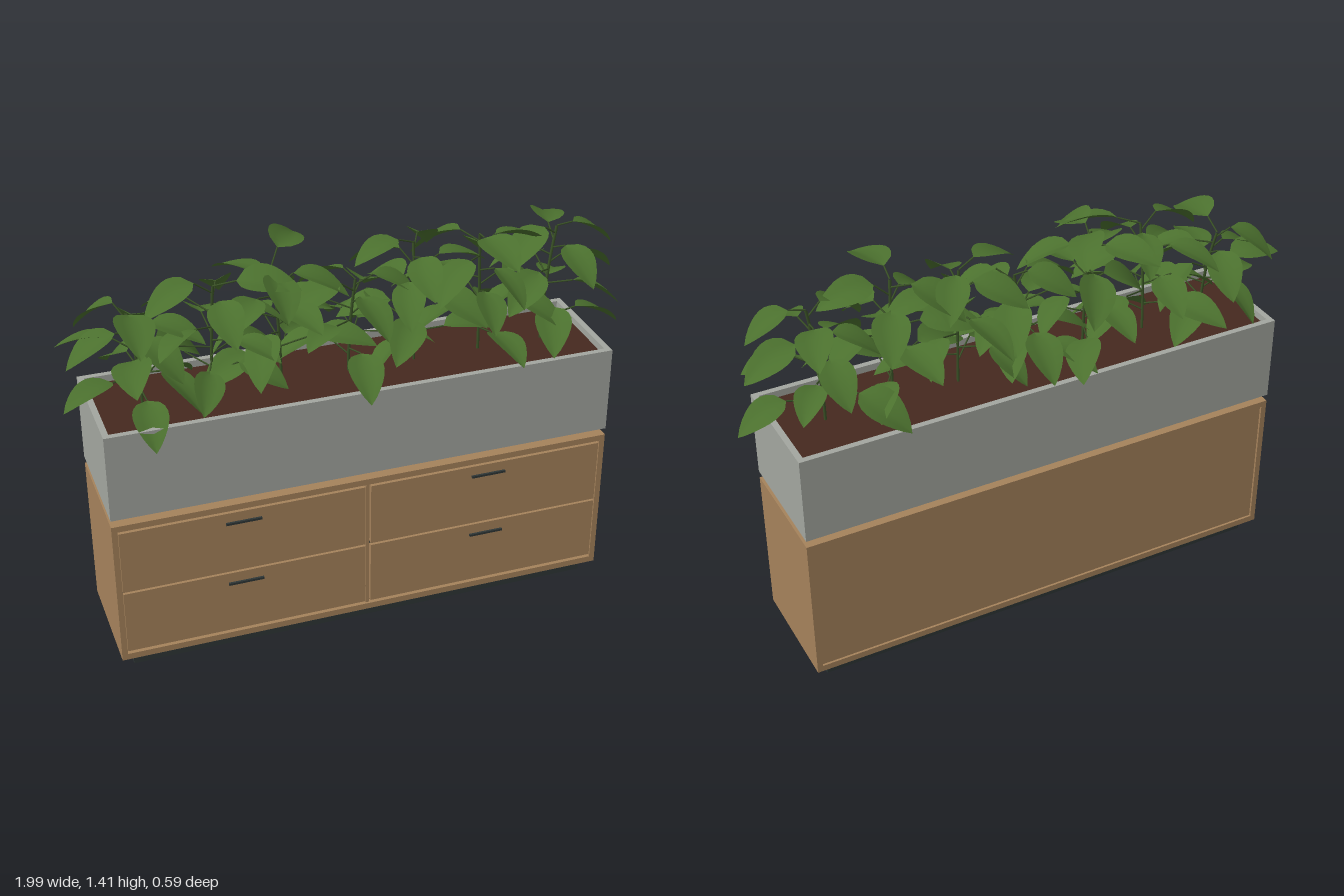
import * as THREE from 'three';

const mat = (name, color, side = THREE.FrontSide) => {
  const m = new THREE.MeshStandardMaterial({ color, side });
  m.name = name;
  return m;
};

// Broad pointed leaf of unit length along +z, folded at the midrib and drooping to the tip
function leafGeometry() {
  const g = new THREE.PlaneGeometry(1, 1, 4, 9);
  const p = g.attributes.position;
  for (let i = 0; i < p.count; i++) {
    const t = 0.5 - p.getY(i);
    const s = p.getX(i) * 2;
    const half = 0.31 * Math.pow(Math.sin(Math.PI * Math.pow(t, 0.75)), 0.8) || 0;
    const x = s * half;
    p.setXYZ(i, x, Math.abs(x) * 0.28 + 0.1 * t - 0.3 * t * t, t);
  }
  g.computeVertexNormals();
  return g;
}

export function createModel() {
  const root = new THREE.Group();
  root.name = 'planterCabinet';
  const wood = mat('wood', 0xa5825b);
  const concrete = mat('concrete', 0xa3a69f);
  const dark = mat('darkMetal', 0x2e3636);
  const soilMat = mat('soil', 0x45291f);
  const leafMat = mat('leaf', 0x4b702e, THREE.DoubleSide);
  const stemMat = mat('stem', 0x3a5226);

  const CX = 0.05, CZ = -0.01; // centre of the furniture

  // Box given by its limits
  const box = (name, m, x0, x1, y0, y1, z0, z1, parent = root) => {
    const mesh = new THREE.Mesh(new THREE.BoxGeometry(x1 - x0, y1 - y0, z1 - z0), m);
    mesh.position.set((x0 + x1) / 2, (y0 + y1) / 2, (z0 + z1) / 2);
    mesh.name = name;
    parent.add(mesh);
    return mesh;
  };

  // Plinth and cabinet carcass
  box('plinth', dark, -0.79, 0.89, 0, 0.05, -0.185, 0.165);
  const cabinet = new THREE.Group();
  cabinet.name = 'cabinet';
  root.add(cabinet);
  box('topPanel', wood, -0.835, 0.935, 0.573, 0.595, -0.22, 0.2, cabinet);
  box('bottomPanel', wood, -0.835, 0.935, 0.05, 0.073, -0.22, 0.2, cabinet);
  box('rightSide', wood, -0.835, -0.815, 0.073, 0.573, -0.22, 0.2, cabinet);
  box('leftSide', wood, 0.915, 0.935, 0.073, 0.573, -0.22, 0.2, cabinet);
  box('backPanel', wood, -0.815, 0.915, 0.073, 0.573, -0.212, -0.195, cabinet);
  box('innerBody', wood, -0.815, 0.915, 0.073, 0.573, -0.195, 0.178, cabinet);
  box('divider', wood, 0.044, 0.056, 0.073, 0.573, 0.178, 0.192, cabinet);
  box('drawerGap', dark, -0.815, 0.915, 0.319, 0.329, 0.178, 0.182, cabinet);

  // Drawer fronts with slim handles
  for (const [x0, x1] of [[-0.813, 0.04], [0.06, 0.913]]) {
    for (const [y0, y1, hy] of [[0.083, 0.32, 0.279], [0.328, 0.563, 0.524]]) {
      box('drawerFront', wood, x0, x1, y0, y1, 0.178, 0.198, cabinet);
      const hx = x0 < 0 ? -0.39 : 0.492;
      box('handle', dark, hx - 0.062, hx + 0.062, hy - 0.004, hy + 0.004, 0.198, 0.206, cabinet);
    }
  }

  // Feet under the trough
  for (const x of [-0.665, 0.765]) {
    for (const z of [0.122, -0.142]) {
      const foot = new THREE.Mesh(new THREE.CylinderGeometry(0.015, 0.019, 0.03, 16), dark);
      foot.position.set(x, 0.608, z);
      foot.name = 'foot';
      root.add(foot);
    }
  }

  // Open trough: extruded rim frame, floor and soil
  const rect = (S, w, d) => new S([
    new THREE.Vector2(-w, -d), new THREE.Vector2(w, -d), new THREE.Vector2(w, d), new THREE.Vector2(-w, d)]);
  const frame = rect(THREE.Shape, 0.885, 0.211);
  frame.holes.push(rect(THREE.Path, 0.864, 0.19));
  const wallGeo = new THREE.ExtrudeGeometry(frame, { depth: 0.312, bevelEnabled: false });
  wallGeo.rotateX(-Math.PI / 2);
  const walls = new THREE.Mesh(wallGeo, concrete);
  walls.position.set(CX, 0.621, CZ);
  walls.name = 'troughWalls';
  root.add(walls);
  box('troughFloor', concrete, -0.815, 0.915, 0.621, 0.645, -0.201, 0.181);
  box('soil', soilMat, -0.815, 0.915, 0.645, 0.908, -0.201, 0.181);

  // Plants
  let seed = 11;
  const rand = (a, b) => {
    seed = (seed * 16807) % 2147483647;
    return a + (b - a) * (seed / 2147483647);
  };
  const leafGeo = leafGeometry();
  const tops = [1.23, 1.31, 1.34, 1.25, 1.34, 1.35, 1.33];
  const LEAVES = 14;

  tops.forEach((top, k) => {
    const plant = new THREE.Group();
    plant.name = 'plant';
    root.add(plant);
    const x = CX + (k - 3) * 0.237;
    const lean = new THREE.Vector3(k === 0 ? -0.03 : rand(-0.03, 0.04), 0, rand(-0.03, 0.03));
    const path = new THREE.QuadraticBezierCurve3(
      new THREE.Vector3(x, 0.9, CZ),
      new THREE.Vector3(x, (top + 0.9) / 2, CZ),
      new THREE.Vector3(x + lean.x, top, CZ + lean.z));
    const stem = new THREE.Mesh(new THREE.TubeGeometry(path, 8, 0.005, 6), stemMat);
    stem.name = 'stem';
    plant.add(stem);

    for (let i = 0; i < LEAVES; i++) {
      const f = i / (LEAVES - 1);
      const yaw = i * 2.4 + k * 1.3 + rand(-0.25, 0.25);
      const dir = new THREE.Vector3(Math.sin(yaw), 0, Math.cos(yaw));
      const start = path.getPoint(0.2 + 0.8 * f);
      const reach = rand(0.08, 0.14) * (1 - 0.45 * f);
      const end = start.clone().addScaledVector(dir, reach);
      end.y += rand(0.01, 0.05);

      // Petiole from stem to leaf base
      const stalk = new THREE.Mesh(
        new THREE.TubeGeometry(new THREE.LineCurve3(start, end), 1, 0.003, 5), stemMat);
      stalk.name = 'leafStalk';
      plant.add(stalk);

      const leaf = new THREE.Mesh(leafGeo, leafMat);
      leaf.name = 'leaf';
      leaf.position.copy(end);
      leaf.rotation.order = 'YXZ';
      leaf.rotation.set(rand(-0.1, 0.45), yaw + rand(-0.3, 0.3), rand(-0.35, 0.35));
      leaf.scale.setScalar(rand(0.165, 0.215));
      plant.add(leaf);
    }
  });

  return root;
}
